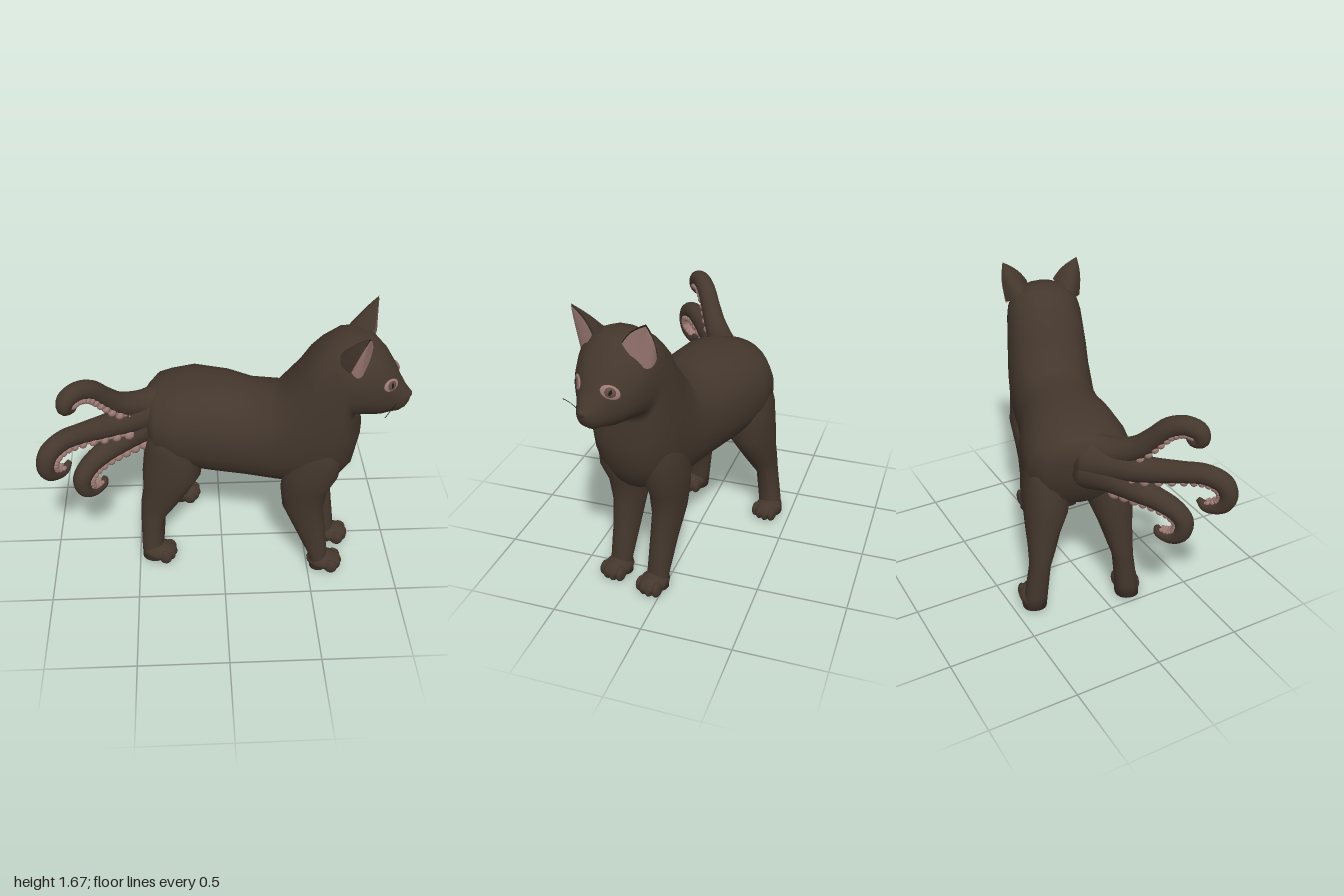
import * as THREE from 'three';

const mat = (name, color, side = THREE.FrontSide) => {
  const m = new THREE.MeshStandardMaterial({ color, side });
  m.name = name;
  return m;
};
const V = (x, y, z) => new THREE.Vector3(x, y, z);
const SEG = 24;

// Skin a row of closed rings and cap both ends, facing outwards.
function loft(rings) {
  const pos = [], idx = [], n = rings[0].length, last = rings.length - 1;
  rings.forEach(r => r.forEach(p => pos.push(p.x, p.y, p.z)));
  for (let i = 0; i < last; i++) for (let k = 0; k < n; k++) {
    const a = i * n + k, b = i * n + (k + 1) % n;
    idx.push(a, b, b + n, a, b + n, a + n);
  }
  [0, last].forEach(i => {
    const c = rings[i].reduce((s, p) => s.add(p), V(0, 0, 0)).divideScalar(n);
    const ci = pos.length / 3;
    pos.push(c.x, c.y, c.z);
    for (let k = 0; k < n; k++) {
      const a = i * n + k, b = i * n + (k + 1) % n;
      if (i) idx.push(a, b, ci); else idx.push(b, a, ci);
    }
  });
  const at = i => V(pos[3 * i], pos[3 * i + 1], pos[3 * i + 2]);
  let volume = 0;
  for (let i = 0; i < idx.length; i += 3) volume += at(idx[i]).dot(at(idx[i + 1]).cross(at(idx[i + 2])));
  if (volume < 0) idx.reverse();
  return surface(pos, idx);
}

function surface(pos, idx) {
  const g = new THREE.BufferGeometry();
  g.setAttribute('position', new THREE.Float32BufferAttribute(pos, 3));
  g.setIndex(idx);
  g.computeVertexNormals();
  return g;
}

// Rounded ring around a centre, spanned by two half axes.
function ring(c, a, b, power = 0.9) {
  const soft = v => Math.sign(v) * Math.abs(v) ** power;
  return Array.from({ length: SEG }, (_, k) => {
    const t = k / SEG * Math.PI * 2;
    return c.clone().addScaledVector(a, soft(Math.cos(t))).addScaledVector(b, soft(Math.sin(t)));
  });
}

export function createModel() {
  const fur = mat('darkFur', 0x44372d);
  const furThin = mat('darkFurThin', 0x44372d, THREE.DoubleSide);
  const pink = mat('dustyPink', 0x9c7a74, THREE.DoubleSide);
  const iris = mat('brownIris', 0x5e4d43);
  const black = mat('nearBlack', 0x1f1916);
  const model = new THREE.Group();
  const cat = new THREE.Group();
  cat.name = 'cat';
  cat.rotation.y = -0.28;
  cat.position.z = -0.016;
  model.add(cat);

  const add = (parent, name, geo, material) => {
    const m = new THREE.Mesh(geo, material);
    m.name = name;
    parent.add(m);
    return m;
  };
  const ball = new THREE.SphereGeometry(1, 16, 12);
  const blob = (parent, name, material, p, s) => {
    const m = add(parent, name, ball, material);
    m.position.set(...p);
    m.scale.set(...s);
    return m;
  };

  // Torso, neck and head: bottom x,y, top x,y, half width
  const bodyRings = [
    [-0.42, 0.86, -0.43, 1.06, 0.10], [-0.395, 0.73, -0.39, 1.11, 0.21], [-0.30, 0.65, -0.33, 1.125, 0.285],
    [-0.18, 0.62, -0.20, 1.17, 0.305], [0.0, 0.605, 0.0, 1.178, 0.28], [0.18, 0.595, 0.14, 1.16, 0.25],
    [0.36, 0.59, 0.30, 1.175, 0.24], [0.55, 0.60, 0.37, 1.27, 0.245], [0.69, 0.66, 0.42, 1.34, 0.245],
    [0.76, 0.78, 0.47, 1.42, 0.24], [0.785, 0.94, 0.53, 1.49, 0.232], [0.755, 1.08, 0.61, 1.55, 0.225],
    [0.755, 1.125, 0.68, 1.562, 0.222], [0.82, 1.12, 0.785, 1.55, 0.206], [0.885, 1.122, 0.87, 1.475, 0.162],
    [0.93, 1.13, 0.92, 1.41, 0.112], [0.975, 1.14, 0.955, 1.345, 0.08], [1.005, 1.165, 0.99, 1.29, 0.055],
    [1.02, 1.195, 1.028, 1.25, 0.028],
  ].map(([bx, by, tx, ty, w], i) => ring(V((bx + tx) / 2, (by + ty) / 2, 0), V(0, 0, w),
    V((tx - bx) / 2, (ty - by) / 2, 0), i > 8 && i < 13 ? 0.8 : 0.9));
  const body = add(cat, 'bodyAndHead', loft(bodyRings), fur);

  // Legs: height, back x, front x, inner z, outer z
  const legs = {
    hind: { paw: [-0.315, 0.28], rows: [
      [1.03, -0.29, -0.2, 0.1, 0.19], [0.93, -0.36, -0.13, 0.08, 0.275], [0.8, -0.40, -0.07, 0.04, 0.308],
      [0.62, -0.42, -0.08, 0.06, 0.31],
      [0.5, -0.415, -0.15, 0.11, 0.305], [0.4, -0.43, -0.215, 0.145, 0.30], [0.3, -0.43, -0.285, 0.18, 0.30],
      [0.1, -0.425, -0.295, 0.2, 0.33], [0.015, -0.42, -0.28, 0.205, 0.345]] },
    front: { paw: [0.66, 0.125], rows: [
      [1.05, 0.53, 0.65, 0.08, 0.18], [0.9, 0.45, 0.72, 0.05, 0.235], [0.72, 0.39, 0.70, 0.03, 0.25],
      [0.6, 0.38, 0.645, 0.045, 0.23],
      [0.46, 0.395, 0.63, 0.055, 0.21], [0.3, 0.47, 0.65, 0.06, 0.195], [0.1, 0.57, 0.675, 0.065, 0.19],
      [0.015, 0.575, 0.68, 0.06, 0.19]] },
  };
  for (const [kind, { paw, rows }] of Object.entries(legs)) for (const s of [1, -1]) {
    const leg = new THREE.Group();
    leg.name = kind + (s > 0 ? 'RightLeg' : 'LeftLeg');
    cat.add(leg);
    add(leg, 'leg', loft(rows.map(([y, x0, x1, z0, z1]) =>
      ring(V((x0 + x1) / 2, y, s * (z0 + z1) / 2), V((x1 - x0) / 2, 0, 0), V(0, 0, (z1 - z0) / 2)))), fur);
    blob(leg, 'paw', fur, [paw[0], 0.06, s * paw[1]], [0.105, 0.055, 0.078]);
    for (let i = 0; i < 4; i++) {
      const off = (i - 1.5) * 0.036;
      blob(leg, 'toe', fur, [paw[0] + 0.07 - Math.abs(off) * 0.4, 0.054, s * paw[1] + off], [0.04, 0.046, 0.023]);
    }
  }

  // Cupped ear sheet, from a curved base to the tip
  const earSheet = (a, c, b, tip, s) => {
    const pos = [], idx = [], n = 10, m = 6;
    const base = new THREE.QuadraticBezierCurve3(a, c, b);
    for (let j = 0; j <= m; j++) for (let i = 0; i <= n; i++) {
      const t = j / m, p = base.getPoint(i / n).lerp(tip, t);
      const bulge = Math.sin(Math.PI * t) * 0.014;
      pos.push(p.x, p.y + bulge * 0.6, s * (p.z + bulge * (i / n - 0.5) * 2));
      if (j < m && i < n) {
        const q = j * (n + 1) + i;
        idx.push(q, q + 1, q + n + 2, q, q + n + 2, q + n + 1);
      }
    }
    return surface(pos, idx);
  };
  const caster = new THREE.Raycaster();
  const onFace = (y, z) => {
    caster.set(V(1.5, y, z), V(-1, 0, 0));
    return caster.intersectObject(body)[0];
  };
  for (const s of [1, -1]) {
    const tip = V(0.795, 1.672, 0.225);
    add(cat, 'ear', earSheet(V(0.80, 1.545, 0.08), V(0.53, 1.50, 0.11), V(0.715, 1.46, 0.225), tip, s), furThin);
    add(cat, 'innerEar', earSheet(V(0.81, 1.545, 0.09), V(0.79, 1.36, 0.225), V(0.722, 1.47, 0.228),
      V(0.797, 1.662, 0.224), s), pink);

    // Eye: three thin stacked discs lying on the face
    const hit = onFace(1.34, s * 0.1);
    [['eye', pink, 0.052, 0.034, 0.009], ['iris', iris, 0.036, 0.028, 0.013], ['pupil', black, 0.012, 0.021, 0.016]]
      .forEach(([name, m, w, h, d]) => {
        const e = blob(cat, name, m, hit.point.toArray(), [w, h, d]);
        e.quaternion.setFromUnitVectors(V(0, 0, 1), hit.face.normal);
      });
  }
  const whisker = new THREE.QuadraticBezierCurve3(V(0.97, 1.21, 0.05), V(0.955, 1.24, 0.13), V(0.914, 1.21, 0.215));
  add(cat, 'whisker', new THREE.TubeGeometry(whisker, 8, 0.002, 4), black);
  blob(cat, 'nose', fur, [1.014, 1.24, 0], [0.02, 0.02, 0.026]);

  // Tentacle tails: x, y, radius along each curl
  const tails = [
    [[-0.30, 1.01, 0.10], [-0.46, 1.04, 0.075], [-0.57, 1.10, 0.064], [-0.64, 1.18, 0.057], [-0.70, 1.255, 0.055],
      [-0.765, 1.285, 0.052], [-0.82, 1.265, 0.05], [-0.83, 1.22, 0.042], [-0.80, 1.205, 0.03], [-0.775, 1.225, 0.014]],
    [[-0.30, 0.97, 0.15], [-0.47, 0.975, 0.1], [-0.62, 0.98, 0.07], [-0.76, 1.01, 0.058], [-0.86, 1.025, 0.055],
      [-0.93, 0.99, 0.054], [-0.95, 0.92, 0.05], [-0.93, 0.86, 0.045], [-0.87, 0.835, 0.032], [-0.835, 0.87, 0.014]],
    [[-0.30, 0.92, 0.15], [-0.44, 0.90, 0.11], [-0.55, 0.855, 0.08], [-0.65, 0.82, 0.063], [-0.74, 0.775, 0.056],
      [-0.785, 0.71, 0.053], [-0.775, 0.63, 0.049], [-0.73, 0.595, 0.04], [-0.68, 0.61, 0.03], [-0.67, 0.64, 0.014]],
  ];
  const across = V(0.58, 0, 0.81);
  const sweep = x => { const t = -(x + 0.35); return -0.05 + 0.57 * t + 0.3 * t * t; };
  tails.forEach((pts, ti) => {
    const tail = new THREE.Group();
    tail.name = 'tentacleTail' + (ti + 1);
    model.add(tail);
    const curve = new THREE.CatmullRomCurve3(pts.map(([x, y]) => V(x, y, sweep(x))));
    const frame = t => {
      const f = t * (pts.length - 1), i = Math.min(Math.floor(f), pts.length - 2);
      const r = THREE.MathUtils.lerp(pts[i][2], pts[i + 1][2], f - i);
      const inner = across.clone().cross(curve.getTangent(t)).normalize();
      return { p: curve.getPoint(t), r, inner };
    };
    const rings = [], strip = [];
    for (let j = 0; j <= 40; j++) {
      const { p, r, inner } = frame(j / 40);
      rings.push(ring(p, across.clone().multiplyScalar(r), inner.clone().multiplyScalar(r), 1));
      if (j < 6 || j > 37) continue;
      const under = p.clone().addScaledVector(inner, r * 0.72).addScaledVector(across, r * 0.15);
      strip.push(ring(under, across.clone().multiplyScalar(r * 0.68), inner.multiplyScalar(r * 0.33), 1));
    }
    add(tail, 'tentacle', loft(rings), fur);
    add(tail, 'suckerStrip', loft(strip), pink);

    // Two rows of suckers along the inside of the curl
    for (let j = 0; j < 18; j++) for (const s of [0.62, -0.36]) {
      const { p, r, inner } = frame(0.17 + j * 0.044);
      p.addScaledVector(inner, r * 0.82).addScaledVector(across, s * r);
      blob(tail, 'sucker', pink, p.toArray(), [r * 0.38, r * 0.38, r * 0.38]);
    }
  });
  return model;
}
